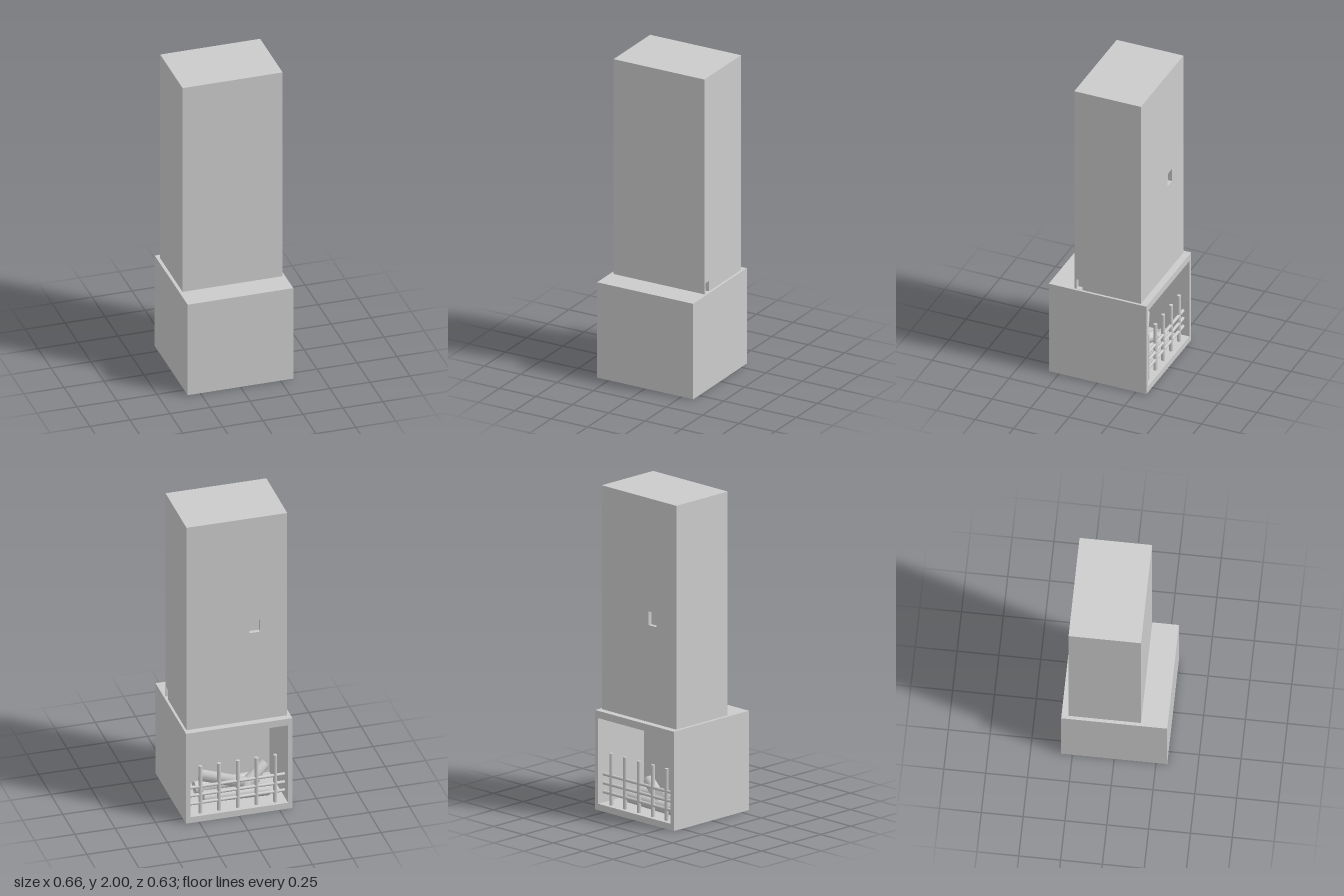
import * as THREE from 'three';

const mat = new THREE.MeshStandardMaterial({ color: 0xcccccc, side: THREE.DoubleSide, flatShading: true });
const smooth = new THREE.MeshStandardMaterial({ color: 0xcccccc });

// Flat rectangle [u0, v0, u1, v1] with rectangular holes, set at a position along an axis.
// axis x: (u, v) = (z, y); axis y: (u, v) = (x, z); axis z: (u, v) = (x, y)
function panel(parent, name, axis, at, rect, holes = []) {
  const trace = (path, [a, b, c, d]) =>
    path.moveTo(a, b).lineTo(c, b).lineTo(c, d).lineTo(a, d).closePath();
  const shape = new THREE.Shape();
  trace(shape, rect);
  for (const h of holes) {
    const hole = new THREE.Path();
    trace(hole, h);
    shape.holes.push(hole);
  }
  const mesh = new THREE.Mesh(new THREE.ShapeGeometry(shape), mat);
  if (axis === 'x') mesh.rotation.y = -Math.PI / 2;
  if (axis === 'y') mesh.rotation.x = Math.PI / 2;
  mesh.position[axis] = at;
  mesh.name = name;
  parent.add(mesh);
}

// Round rod between two points
function rod(parent, name, a, b, r, sides = 12) {
  const p = new THREE.Vector3(...a), q = new THREE.Vector3(...b);
  const mesh = new THREE.Mesh(new THREE.CylinderGeometry(r, r, p.distanceTo(q), sides), smooth);
  mesh.position.copy(p).add(q).multiplyScalar(0.5);
  mesh.quaternion.setFromUnitVectors(new THREE.Vector3(0, 1, 0), q.sub(p).normalize());
  mesh.name = name;
  parent.add(mesh);
}

function group(parent, name) {
  const g = new THREE.Group();
  g.name = name;
  parent.add(g);
  return g;
}

export function createModel() {
  const model = new THREE.Group();
  model.name = 'fireplace';
  const W = 0.33, D = 0.317, H = 0.615;       // base half width, half depth, height
  const F = 0.303, floorY = 0.04, backZ = 0.07; // firebox half width, floor, inner wall
  const L = -0.31, R = 0.315, Z0 = -0.275, Z1 = 0.158; // chimney limits

  // Base shell, open underneath, with the fire opening in one face
  const base = group(model, 'base');
  panel(base, 'baseFront', 'z', D, [-W, 0, W, H]);
  panel(base, 'baseOpeningFace', 'z', -D, [-W, 0, W, H], [[-F, floorY, F, 0.57]]);
  for (const s of [-1, 1]) panel(base, 'baseSide', 'x', s * W, [-D, 0, D, H]);
  panel(base, 'baseTop', 'y', H, [-W, -D, W, D], [[-F, Z0, F, backZ]]);

  // Firebox lining, open to the flue above
  const firebox = group(model, 'firebox');
  panel(firebox, 'hearthFloor', 'y', floorY, [-F, -D, F, backZ]);
  panel(firebox, 'fireboxWall', 'z', backZ, [-F, floorY, F, H]);
  for (const s of [-1, 1]) panel(firebox, 'fireboxSide', 'x', s * F, [-D, floorY, backZ, H]);
  panel(firebox, 'lintelUnderside', 'y', 0.57, [-F, -D, F, Z0]);
  panel(firebox, 'lintelInside', 'z', Z0, [-F, 0.57, F, H]);

  // Hollow chimney with a soot door recess and a low side vent
  const chimney = group(model, 'chimney');
  const door = [-0.142, 1.215, -0.075, 1.3], vent = [0.105, H + 0.001, 0.145, 0.682];
  panel(chimney, 'chimneyFront', 'z', Z1, [L, H, R, 2]);
  panel(chimney, 'chimneyBack', 'z', Z0, [L, H, R, 2], [door]);
  panel(chimney, 'chimneyRight', 'x', L, [Z0, H, Z1, 2]);
  panel(chimney, 'chimneyLeft', 'x', R, [Z0, H, Z1, 2], [vent]);
  panel(chimney, 'chimneyTop', 'y', 2, [L, Z0, R, Z1]);

  // Soot door recess
  const zi = Z0 + 0.025;
  panel(chimney, 'sootDoor', 'z', zi, door);
  for (const i of [0, 2]) panel(chimney, 'sootDoorJamb', 'x', door[i], [Z0, door[1], zi, door[3]]);
  for (const i of [1, 3]) panel(chimney, 'sootDoorSill', 'y', door[i], [door[0], Z0, door[2], zi]);

  // Side vent recess
  const xi = R - 0.03;
  panel(chimney, 'ventBack', 'x', xi, vent);
  for (const i of [0, 2]) panel(chimney, 'ventJamb', 'z', vent[i], [xi, vent[1], R, vent[3]]);
  panel(chimney, 'ventHead', 'y', vent[3], [xi, vent[0], R, vent[2]]);

  // Fire guard: five uprights and three rails
  const grate = group(model, 'grate');
  for (let i = 0; i < 5; i++) {
    const x = 0.23 - i * 0.116;
    rod(grate, 'upright', [x, floorY, -0.28], [x, 0.36, -0.28], 0.012);
  }
  for (const y of [0.11, 0.165, 0.22]) rod(grate, 'rail', [-0.293, y, -0.28], [0.293, y, -0.28], 0.01);

  // Logs stacked behind the guard, one tipped into the floor
  const logs = group(model, 'logs');
  rod(logs, 'log', [-0.22, 0.08, -0.19], [0.18, 0.08, -0.17], 0.038);
  rod(logs, 'log', [-0.2, 0.08, -0.03], [0.2, 0.08, -0.05], 0.038);
  rod(logs, 'log', [-0.07, 0.055, -0.11], [-0.24, 0.18, -0.05], 0.035);
  rod(logs, 'log', [-0.08, 0.15, -0.2], [0.16, 0.15, -0.03], 0.035);
  return model;
}
